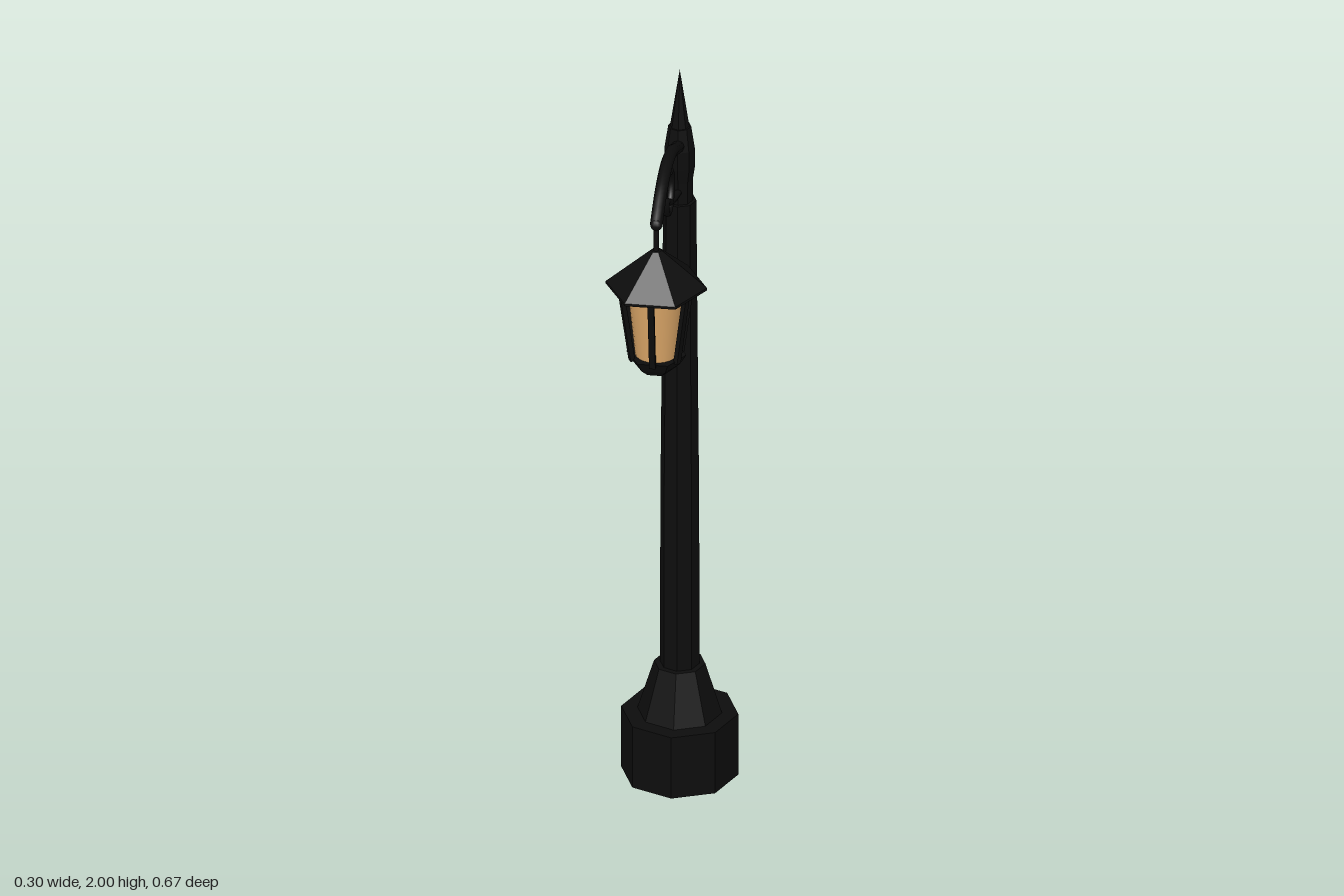
import * as THREE from 'three';

const iron = new THREE.MeshStandardMaterial({ color: 0x0d0d0d });
iron.name = 'black iron';
const amber = new THREE.MeshStandardMaterial({ color: 0xdca768 });
amber.name = 'amber glass';

const POST_Z = -0.185;
const LAMP_Z = 0.222;

function add(group, name, geometry, material = iron) {
  const mesh = new THREE.Mesh(geometry, material);
  mesh.name = name;
  group.add(mesh);
  return mesh;
}

// Faceted solid of revolution from [radius, y] pairs, listed bottom to top
function faceted(profile, sides, turn = 0) {
  const pts = profile.map(([r, y]) => new THREE.Vector2(r, y));
  const g = new THREE.LatheGeometry(pts, sides, turn).toNonIndexed();
  g.computeVertexNormals();
  return g;
}

// Smooth tube in the x = 0 plane through [z, y] pairs
function bentRod(points, radius, segments) {
  const curve = new THREE.CatmullRomCurve3(points.map(([z, y]) => new THREE.Vector3(0, y, z)));
  return new THREE.TubeGeometry(curve, segments, radius, 8);
}

function createPost() {
  const post = new THREE.Group();
  post.name = 'post';
  post.position.z = POST_Z;
  add(post, 'plinth', faceted([[0, 0], [0.148, 0], [0.148, 0.173], [0, 0.173]], 8));
  add(post, 'taperedFoot', faceted([[0.107, 0.173], [0.065, 0.31], [0, 0.31]], 8));
  add(post, 'shaft', faceted([[0.05, 0.3], [0.049, 0.8], [0.046, 1.12], [0.042, 1.63], [0, 1.63]], 8));
  add(post, 'collar', faceted([[0.033, 1.62], [0.033, 1.69], [0.039, 1.73], [0.038, 1.78], [0.029, 1.84], [0, 1.84]], 8));
  add(post, 'spike', faceted([[0.026, 1.83], [0, 2]], 8));
  return post;
}

function createBracket() {
  const bracket = new THREE.Group();
  bracket.name = 'bracket';
  const armPath = [[-0.185, 1.785], [-0.12, 1.81], [-0.04, 1.842], [0.04, 1.852], [0.13, 1.832], [0.19, 1.8], [0.222, 1.778]];
  add(bracket, 'arm', bentRod(armPath, 0.016, 32));
  // Round cap closing the free end of the arm
  add(bracket, 'armTip', new THREE.SphereGeometry(0.016, 10, 8)).position.set(0, 1.778, LAMP_Z);
  const scrollPath = [
    [-0.17, 1.66], [-0.08, 1.687], [-0.016, 1.713], [0.035, 1.742], [0.056, 1.745], [0.045, 1.717],
    [0.005, 1.698], [-0.03, 1.722], [-0.042, 1.765], [-0.025, 1.797], [0.008, 1.808],
  ];
  add(bracket, 'scroll', bentRod(scrollPath, 0.009, 64));
  return bracket;
}

function createLantern() {
  const lantern = new THREE.Group();
  lantern.name = 'lantern';
  lantern.position.z = LAMP_Z;
  const turn = Math.PI / 6;
  add(lantern, 'hanger', new THREE.CylinderGeometry(0.007, 0.007, 0.1, 8)).position.y = 1.735;
  add(lantern, 'roof', faceted([[0, 1.6], [0.128, 1.6], [0.128, 1.607], [0.014, 1.705], [0, 1.705]], 6, turn));
  add(lantern, 'glass', new THREE.CylinderGeometry(0.073, 0.053, 0.2, 24, 1, true), amber).position.y = 1.505;
  add(lantern, 'cup', faceted([[0, 1.357], [0.036, 1.364], [0.06, 1.385], [0.076, 1.412], [0, 1.412]], 6, turn));

  // Six slanting bars around the glass
  const top = 0.095, bottom = 0.066, rise = 0.2;
  const lean = Math.atan2(top - bottom, rise);
  for (let i = 0; i < 6; i++) {
    const pivot = new THREE.Group();
    pivot.name = 'barMount';
    pivot.rotation.y = i * Math.PI / 3;
    const bar = add(pivot, 'bar', new THREE.BoxGeometry(0.016, Math.hypot(top - bottom, rise), 0.012));
    bar.position.set(0, 1.505, (top + bottom) / 2);
    bar.rotation.x = lean;
    lantern.add(pivot);
  }
  return lantern;
}

export function createModel() {
  const model = new THREE.Group();
  model.name = 'streetLamp';
  model.add(createPost(), createBracket(), createLantern());
  return model;
}
